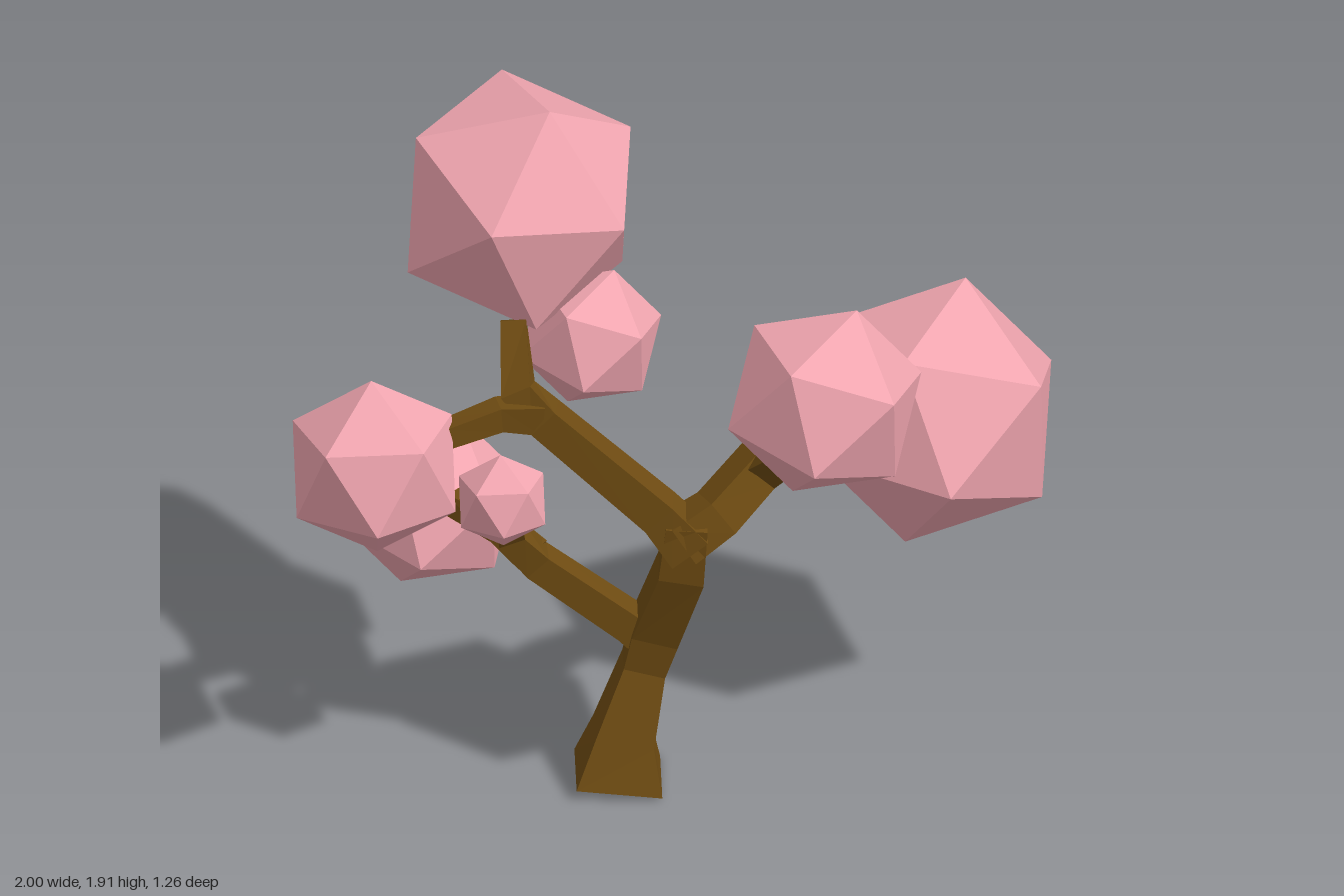
import * as THREE from 'three';

const V = (a) => new THREE.Vector3(...a);
const bark = new THREE.MeshStandardMaterial({ color: 0x6e4b12, flatShading: true });
const blossom = new THREE.MeshStandardMaterial({ color: 0xf0a5af, flatShading: true });

// Square-sectioned limb; each node is [x, y, z, halfWidth]
function limb(name, nodes) {
  const pts = nodes.map((n) => V(n.slice(0, 3)));
  const pos = [], index = [];
  const quad = (a, b, c, d) => index.push(a, b, c, a, c, d);
  nodes.forEach((n, i) => {
    const t = new THREE.Vector3();
    if (i > 0) t.add(pts[i].clone().sub(pts[i - 1]).normalize());
    if (i < pts.length - 1) t.add(pts[i + 1].clone().sub(pts[i]).normalize());
    t.normalize();
    const b = new THREE.Vector3(0, 0, 1).addScaledVector(t, -t.z).normalize();
    const s = t.clone().cross(b);
    for (const [u, v] of [[1, 1], [1, -1], [-1, -1], [-1, 1]]) {
      pos.push(...pts[i].clone().addScaledVector(s, u * n[3]).addScaledVector(b, v * n[3]).toArray());
    }
    if (i > 0) {
      for (let k = 0; k < 4; k++) {
        const lo = (i - 1) * 4, hi = i * 4, m = (k + 1) % 4;
        quad(lo + k, lo + m, hi + m, hi + k);
      }
    }
  });
  const e = (nodes.length - 1) * 4;
  quad(3, 2, 1, 0);
  quad(e, e + 1, e + 2, e + 3);
  const indexed = new THREE.BufferGeometry();
  indexed.setAttribute('position', new THREE.Float32BufferAttribute(pos, 3));
  indexed.setIndex(index);
  const geo = indexed.toNonIndexed();
  geo.computeVertexNormals();
  const mesh = new THREE.Mesh(geo, bark);
  mesh.name = name;
  return mesh;
}

// Icosahedron turned so two neighbouring corners point along p and q
function foliage(name, center, radius, [p, q]) {
  const a = V(p).normalize(), b = V(q).normalize();
  const x = a.clone().sub(b).normalize();
  const y = a.clone().add(b);
  y.addScaledVector(x, -y.dot(x)).normalize();
  const mesh = new THREE.Mesh(new THREE.IcosahedronGeometry(radius, 0), blossom);
  mesh.quaternion.setFromRotationMatrix(new THREE.Matrix4().makeBasis(x, y, x.clone().cross(y)));
  mesh.position.set(...center);
  mesh.name = name;
  return mesh;
}

export function createModel() {
  const tree = new THREE.Group();
  tree.name = 'blossomTree';

  // Trunk and forking branches
  tree.add(
    limb('trunk', [
      [-0.147, 0.005, 0.03, 0.113], [-0.133, 0.13, 0.026, 0.078], [-0.08, 0.32, -0.004, 0.056],
      [-0.05, 0.43, 0, 0.062], [0.017, 0.66, 0.075, 0.06], [0.03, 0.82, 0.09, 0.055],
    ]),
    limb('lowerBranch', [
      [-0.04, 0.39, 0, 0.052], [-0.12, 0.455, 0.0, 0.043], [-0.36, 0.645, 0.0, 0.04], [-0.43, 0.74, 0.02, 0.036],
      [-0.435, 0.86, 0.09, 0.028],
    ]),
    limb('lowerBranchFork', [[-0.37, 0.66, 0, 0.04], [-0.45, 0.715, -0.05, 0.035], [-0.58, 0.74, -0.15, 0.03]]),
    limb('upperLeftBranch', [
      [0.04, 0.74, 0.09, 0.06], [-0.04, 0.84, 0.085, 0.05], [-0.34, 1.11, 0.045, 0.045],
      [-0.41, 1.18, 0.02, 0.042], [-0.42, 1.34, -0.07, 0.034],
    ]),
    limb('upperLeftFork', [[-0.35, 1.12, 0.045, 0.042], [-0.46, 1.13, 0.06, 0.035], [-0.6, 1.095, 0.1, 0.03]]),
    limb('rightBranch', [
      [0.01, 0.76, 0.09, 0.06], [0.11, 0.82, 0.06, 0.055], [0.23, 0.92, -0.03, 0.053],
      [0.31, 0.96, -0.07, 0.046], [0.42, 0.975, -0.13, 0.042],
    ]),
    limb('rightBranchFork', [[0.22, 0.9, -0.03, 0.05], [0.28, 0.99, 0.05, 0.044], [0.345, 1.16, 0.26, 0.038]]),
  );

  // Foliage clumps
  const crownTurn = [[-0.08, 0.085, 0.33], [0.08, 0.335, 0.1]];
  const rightTurn = [[0.035, -0.05, 0.355], [-0.085, -0.34, 0.11]];
  const tiltTurn = [[0.085, 0.255, -0.03], [0.03, 0.077, -0.247]];
  const levelTurn = [[-0.007, 0.24, -0.03], [-0.004, 0.083, -0.23]];
  tree.add(
    foliage('crownFoliage', [-0.4, 1.575, -0.29], 0.352, crownTurn),
    foliage('rightFoliage', [0.69, 0.94, -0.25], 0.362, rightTurn),
    foliage('frontFoliage', [0.386, 1.355, 0.379], 0.271, tiltTurn),
    foliage('leftFoliage', [-0.79, 1.04, 0.165], 0.245, levelTurn),
    foliage('lowerFoliage', [-0.632, 0.626, -0.348], 0.248, tiltTurn),
    foliage('smallFoliage', [-0.455, 0.935, 0.172], 0.13, levelTurn),
    foliage('innerFoliage', [-0.214, 1.216, -0.19], 0.197, tiltTurn),
  );
  return tree;
}
